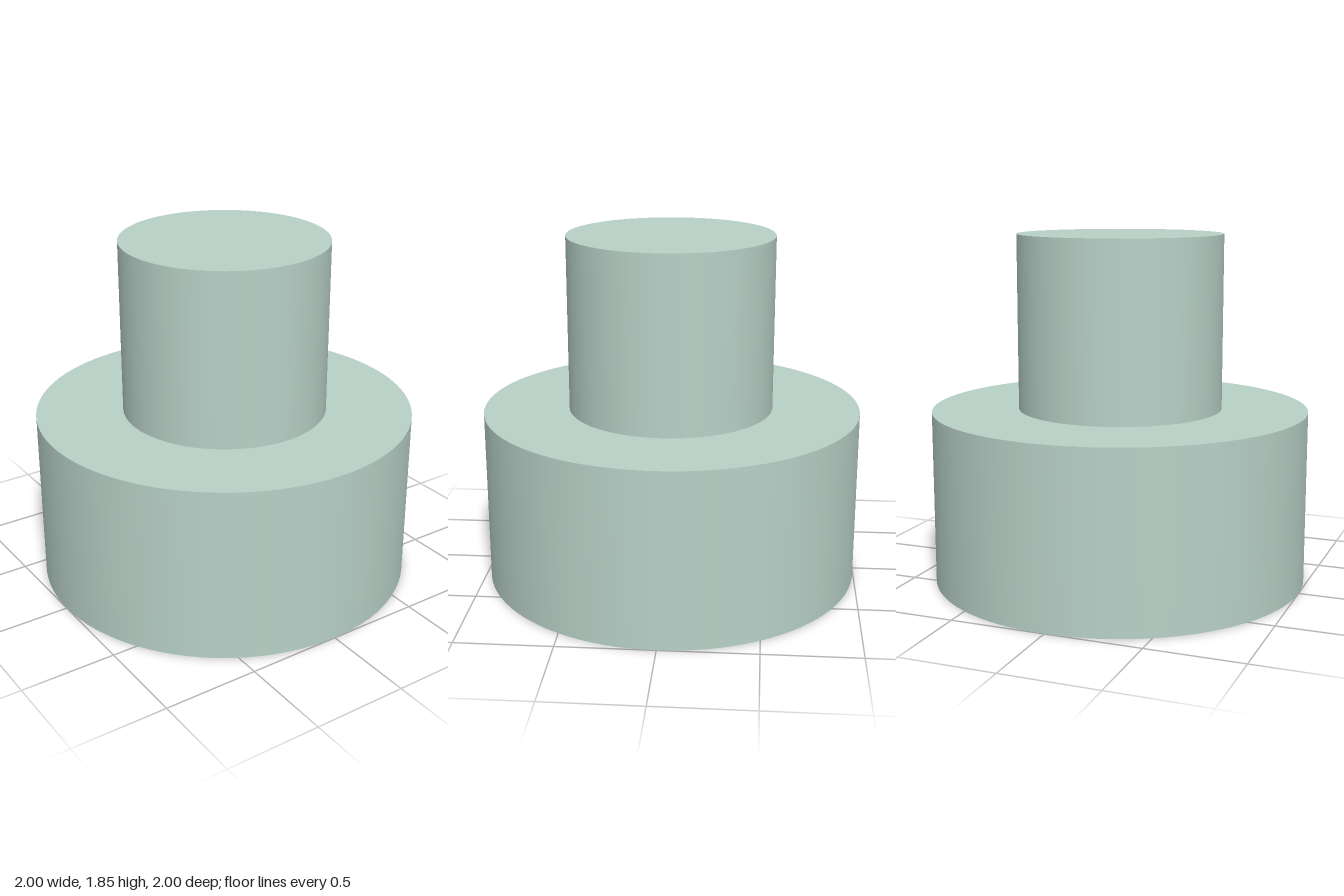
import * as THREE from 'three';

export function createModel() {
  const group = new THREE.Group();
  const material = new THREE.MeshStandardMaterial({ color: 0xb8d1c7 });

  // Upright cylinder standing on the height "bottom"
  function addCylinder(name, radius, bottom, top, z = 0) {
    const geometry = new THREE.CylinderGeometry(radius, radius, top - bottom, 96);
    const mesh = new THREE.Mesh(geometry, material);
    mesh.name = name;
    mesh.position.set(0, (bottom + top) / 2, z);
    group.add(mesh);
  }

  // Wide base, with a narrower post set very slightly forward on top
  addCylinder('base', 1, 0, 0.924);
  addCylinder('post', 0.543, 0.924, 1.848, 0.005);

  return group;
}
